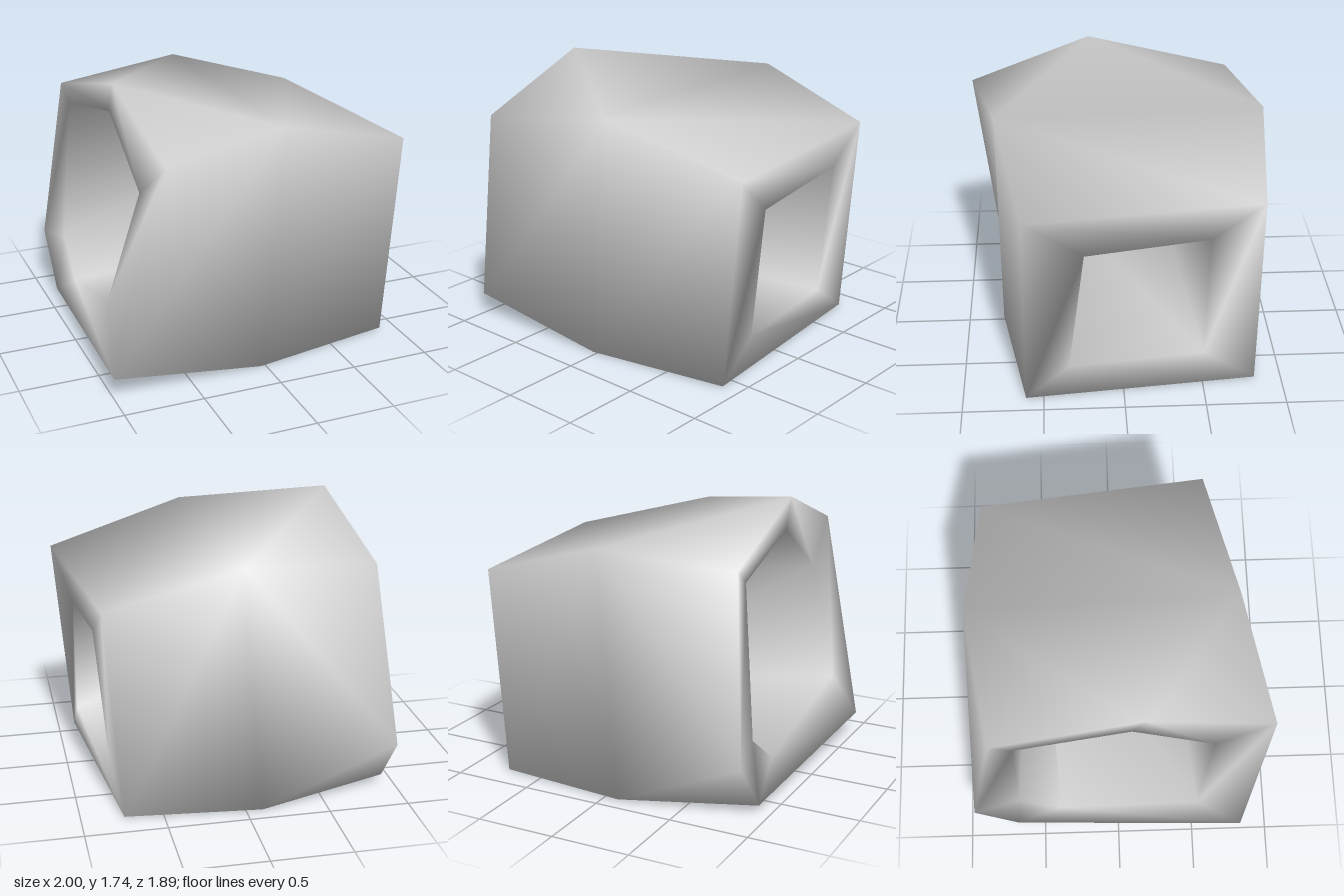
import * as THREE from 'three';

// Each ring runs: top front, top, top back, back, bottom back, bottom front.
// Four-cornered rings repeat two corners to meet the six-cornered left end.
const fromFour = ([tf, tb, bb, bf]) => [tf, tf, tb, tb, bb, bf];

const leftOuter = [
  [-0.70, 1.46, 0.94], [-0.75, 1.74, 0.16], [-0.81, 1.49, -0.77],
  [-0.93, 0.38, -0.95], [-0.93, 0.05, -0.68], [-1.0, 0.14, 0.82],
];
const leftInner = [
  [-0.74, 1.20, 0.59], [-0.75, 1.55, 0.08], [-0.80, 1.39, -0.63],
  [-0.87, 0.44, -0.65], [-0.88, 0.24, -0.38], [-0.93, 0.50, 0.51],
];
const middle = fromFour([
  [0.10, 1.55, 0.77], [0.03, 1.56, -0.91], [-0.10, 0.01, -0.91], [-0.03, 0.0, 0.77],
]);
const rightOuter = fromFour([
  [1.0, 1.31, 0.60], [0.84, 1.32, -0.83], [0.74, 0.01, -0.83], [0.89, 0.01, 0.61],
]);
const rightInner = fromFour([
  [0.90, 1.03, 0.24], [0.86, 1.10, -0.51], [0.78, 0.24, -0.50], [0.89, 0.24, 0.34],
]);

// Joins the rings into one closed, smoothly shaded skin; the last ring meets the first
function loftLoop(rings) {
  const positions = [], index = [], ids = new Map();
  const id = (p) => {
    if (!ids.has(p)) {
      ids.set(p, positions.length / 3);
      positions.push(...p);
    }
    return ids.get(p);
  };
  const tri = (a, b, c) => {
    if (a !== b && b !== c && a !== c) index.push(id(a), id(b), id(c));
  };
  rings.forEach((a, r) => {
    const b = rings[(r + 1) % rings.length];
    for (let i = 0; i < a.length; i++) {
      const j = (i + 1) % a.length;
      tri(a[i], b[i], b[j]);
      tri(a[i], b[j], a[j]);
    }
  });
  const geometry = new THREE.BufferGeometry();
  geometry.setAttribute('position', new THREE.Float32BufferAttribute(positions, 3));
  geometry.setIndex(index);
  geometry.computeVertexNormals();
  return geometry;
}

export function createModel() {
  const group = new THREE.Group();
  group.name = 'hollowBlock';
  const grey = new THREE.MeshStandardMaterial({ color: 0xcccccc });
  grey.name = 'light grey';

  // Outer walls, both end rims and the tunnel through the block
  const body = new THREE.Mesh(
    loftLoop([leftInner, leftOuter, middle, rightOuter, rightInner]), grey);
  body.name = 'blockWithTunnel';
  group.add(body);
  return group;
}
